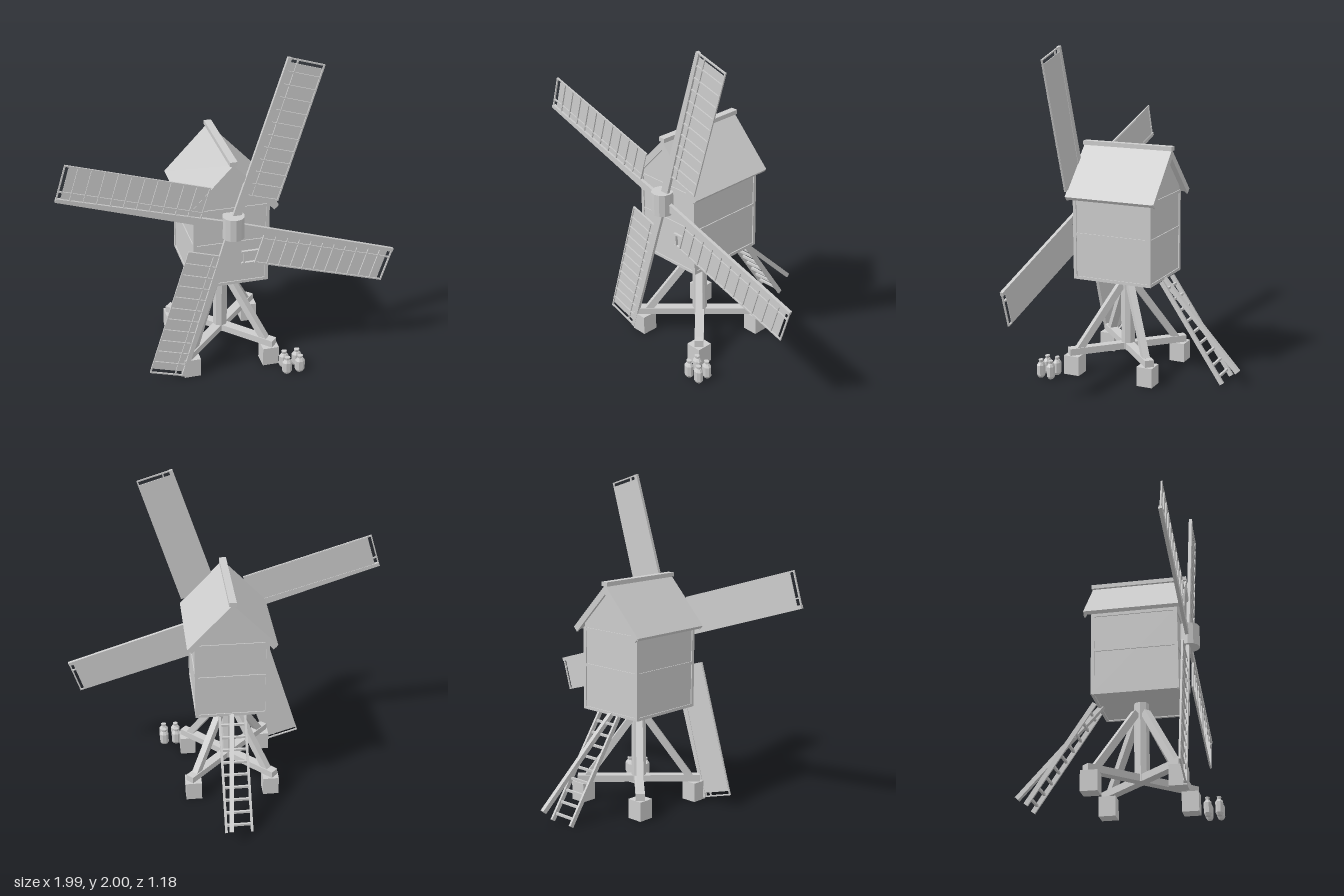
import * as THREE from 'three';

const CZ = 0.17; // centre line of the house and trestle

export function createModel() {
  const model = new THREE.Group();
  const grey = new THREE.MeshStandardMaterial({ color: 0xcccccc });

  const group = (name, parent = model) => {
    const g = new THREE.Group();
    g.name = name;
    parent.add(g);
    return g;
  };
  const add = (name, geo, parent, x = 0, y = 0, z = 0) => {
    const m = new THREE.Mesh(geo, grey);
    m.name = name;
    m.position.set(x, y, z);
    parent.add(m);
    return m;
  };
  const box = (name, parent, w, h, d, x, y, z) =>
    add(name, new THREE.BoxGeometry(w, h, d), parent, x, y, z);
  // Square timber running between two points
  const timber = (name, parent, a, b, w, h = w) => {
    const p = new THREE.Vector3(...a), q = new THREE.Vector3(...b);
    const m = add(name, new THREE.BoxGeometry(w, h, p.distanceTo(q)), parent);
    m.position.copy(p).add(q).multiplyScalar(0.5);
    m.lookAt(q);
    return m;
  };
  const prism = (points, z0, z1) => {
    const shape = new THREE.Shape(points.map(([x, y]) => new THREE.Vector2(x, y)));
    const geo = new THREE.ExtrudeGeometry(shape, { depth: z1 - z0, bevelEnabled: false });
    return geo.translate(0, 0, z0);
  };
  const facets = (geo) => {
    const g = geo.toNonIndexed();
    g.computeVertexNormals();
    return g;
  };

  // Trestle: piers, diagonal cross beams, braces and central post
  const trestle = group('trestle');
  for (const sx of [-1, 1]) {
    for (const sz of [-1, 1]) {
      box('pier', trestle, 0.1, 0.12, 0.1, sx * 0.245, 0.06, CZ + sz * 0.245);
      timber('brace', trestle, [sx * 0.225, 0.15, CZ + sz * 0.225],
        [sx * 0.03, 0.535, CZ + sz * 0.03], 0.042);
    }
    timber('crossBeam', trestle, [-sx * 0.27, 0.141, CZ - 0.27], [sx * 0.27, 0.141, CZ + 0.27], 0.055, 0.042);
  }
  add('post', facets(new THREE.CylinderGeometry(0.045, 0.045, 0.48, 8)), trestle, 0, 0.36, CZ);

  // House: panels with a proud timber frame
  const house = group('house');
  box('walls', house, 0.436, 0.5, 0.496, 0, 0.85, CZ);
  for (const sx of [-1, 1]) for (const sz of [-1, 1]) {
    box('cornerPost', house, 0.02, 0.51, 0.02, sx * 0.215, 0.85, CZ + sz * 0.245);
  }
  for (const y of [0.603, 0.872, 1.095]) for (const s of [-1, 1]) {
    box('sideRail', house, 0.018, 0.018, 0.49, s * 0.215, y, CZ);
    box('endRail', house, 0.43, 0.018, 0.018, 0, y, CZ + s * 0.245);
  }
  add('gable', prism([[-0.218, 1.1], [0.218, 1.1], [0.218, 1.14], [0, 1.372], [-0.218, 1.14]],
    CZ - 0.248, CZ + 0.248), house);

  // Window frame on the front wall
  const win = group('window', house);
  for (const y of [0.732, 0.808]) box('windowRail', win, 0.13, 0.01, 0.016, 0.125, y, 0.429);
  for (const x of [0.075, 0.175]) box('windowJamb', win, 0.01, 0.08, 0.016, x, 0.77, 0.429);

  // Roof, barge boards and ridge
  const roof = group('roof');
  const chevron = (t, end, dx = 0.017) => [[0, 1.39], [end, 1.39 - end * 1.055],
    [end - dx, 1.39 - end * 1.055 - t + dx * 1.055], [0, 1.39 - t],
    [dx - end, 1.39 - end * 1.055 - t + dx * 1.055], [-end, 1.39 - end * 1.055]];
  add('roofCover', prism(chevron(0.03, 0.27, 0.012), -0.12, 0.452), roof);
  for (const z of [-0.124, 0.444]) {
    add('bargeBoard', prism(chevron(0.055, 0.268, 0.025), z, z + 0.012), roof);
  }
  box('ridge', roof, 0.044, 0.026, 0.587, 0, 1.396, 0.1635);

  // Ladder and tail pole at the back
  const ladder = group('ladder');
  const top = [0.597, -0.092], foot = [0.01, -0.488];
  for (const s of [-1, 1]) {
    timber('ladderRail', ladder, [s * 0.079, foot[0], foot[1]], [s * 0.079, top[0], top[1]], 0.014, 0.028);
  }
  for (let i = 0; i < 9; i++) {
    const t = (i + 0.6) / 9.3;
    box('rung', ladder, 0.15, 0.014, 0.014, 0,
      foot[0] + (top[0] - foot[0]) * t, foot[1] + (top[1] - foot[1]) * t);
  }
  timber('tailPole', model, [0, 0.61, -0.06], [0.058, 0.09, -0.58], 0.028);

  // Upright hub drum
  add('hub', facets(new THREE.CylinderGeometry(0.065, 0.065, 0.136, 12)), model, 0, 1.008, 0.461);

  // Four lattice sails
  const sails = group('sails');
  sails.position.set(0, 1.005, 0.457);
  const R0 = 0.2, R1 = 1.038, bays = 11;
  for (let k = 0; k < 4; k++) {
    const sail = group('sail', sails);
    sail.rotation.z = -THREE.MathUtils.degToRad(17 + 90 * k);
    add('stock', prism([[-0.026, 0], [0.026, 0], [0.012, R1], [-0.01, R1]], -0.01, 0.01), sail);
    box('cloth', sail, 0.205, 0.81, 0.004, 0.107, R0 + 0.405, -0.005);
    for (const x of [0.053, 0.209]) {
      box('lath', sail, 0.008, R1 - R0, 0.009, x, (R0 + R1) / 2, 0);
    }
    for (let i = 0; i <= bays; i++) {
      const y = R0 + 0.004 + (R1 - R0 - 0.008) * i / bays;
      box('sailBar', sail, 0.21, 0.008, 0.009, 0.108, y, 0.001);
    }
  }

  // Four small sacks standing by the front pier
  const profile = [[0, 0], [0.02, 0], [0.031, 0.016], [0.031, 0.078], [0.019, 0.094],
    [0.015, 0.096], [0.018, 0.113], [0, 0.113]].map(([x, y]) => new THREE.Vector2(x, y));
  const sackGeo = facets(new THREE.LatheGeometry(profile, 8, Math.PI / 8));
  for (const x of [0.316, 0.396]) for (const z of [0.5, 0.568]) {
    add('sack', sackGeo, model, x, 0, z).scale.z = 0.78;
  }
  return model;
}
